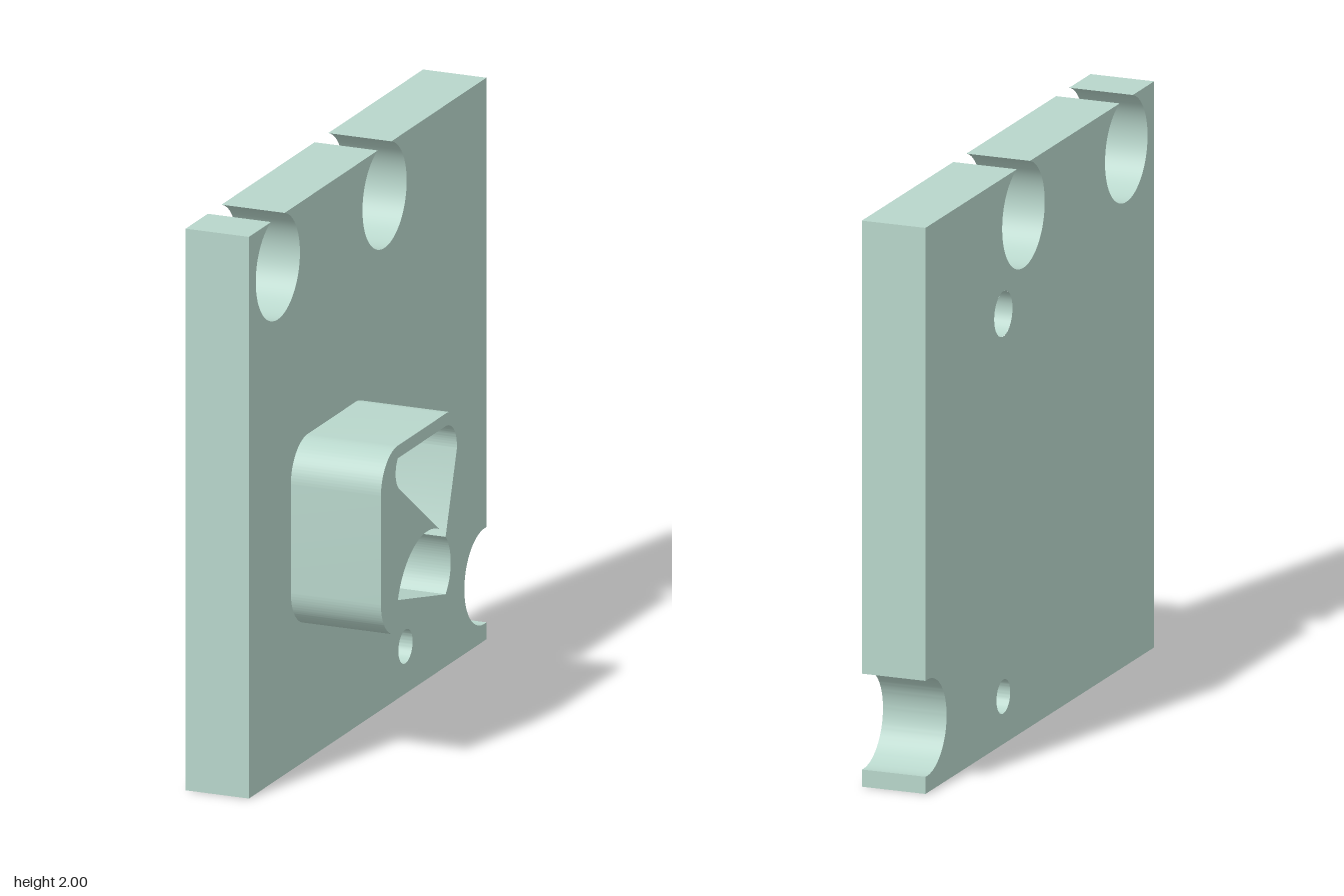
import * as THREE from 'three';
import { toCreasedNormals } from 'three/addons/utils/BufferGeometryUtils.js';

const SEG = 32;
const BACK = -0.285, FACE = -0.05, TIP = 0.285;
const mat = new THREE.MeshStandardMaterial({ color: 0xb8d6cb });
const rad = THREE.MathUtils.degToRad;

// Profiles are drawn in (-z, y); turning them sends their depth along +x.
function place(geometry, x) {
  return geometry.rotateY(Math.PI / 2).translate(x, 0, 0);
}

// Side walls of an extrusion, without its end caps
function walls(shape, x0, x1) {
  const full = new THREE.ExtrudeGeometry(shape, { depth: x1 - x0, bevelEnabled: false, curveSegments: SEG });
  const { start, count } = full.groups[1];
  const geo = new THREE.BufferGeometry();
  geo.setAttribute('position', new THREE.BufferAttribute(
    full.attributes.position.array.slice(start * 3, (start + count) * 3), 3));
  return toCreasedNormals(place(geo, x0), 0.5);
}

// Flat cap facing +x, or -x when flipped
function cap(shape, x, flip = false) {
  const geo = new THREE.ShapeGeometry(shape, SEG);
  if (flip) {
    geo.index.array.reverse();
    geo.computeVertexNormals();
  }
  return place(geo, x);
}

function circle(u, y, r) {
  return new THREE.Path().absarc(u, y, r, 0, Math.PI * 2, true);
}

// Plate outline with two keyhole notches in the top and one in the rear edge
function plateShape() {
  const s = new THREE.Shape();
  s.moveTo(-1, 0).lineTo(1, 0);
  const side = Math.acos(0.015 / 0.17);
  s.lineTo(1, 0.06).absarc(0.985, 0.23, 0.17, -side, side, true);
  s.lineTo(1, 0.4).lineTo(1, 2);
  const a = Math.asin(0.177 / 0.186);
  for (const u of [0.143, -0.756]) s.absarc(u, 1.823, 0.186, a, Math.PI - a, true);
  s.lineTo(-1, 2).closePath();
  s.holes.push(circle(0.319, 0.168, 0.06));
  return s;
}

// Rounded boss outline with a slightly sloping lower edge
function bossShape() {
  const s = new THREE.Shape();
  const r = 0.143, q = Math.PI / 2;
  s.absarc(-0.102, 1.015, r, 0, q);
  s.absarc(-0.504, 1.015, r, q, 2 * q);
  s.absarc(-0.504, 0.635, r, 2 * q, 3 * q);
  s.absarc(-0.102, 0.617, r, 3 * q, 4 * q);
  s.closePath();
  return s;
}

// Pinched pocket: upper wedge joined to a lower curved lobe
function pocketPath() {
  const p = new THREE.Path();
  p.absarc(-0.102, 1.018, 0.095, rad(90), rad(-10), true);
  p.absarc(-0.202, 0.617, 0.143, rad(45.6), rad(-45.6), true);
  p.absarc(-0.257, 0.521, 0.262, rad(160.6), rad(67.7), true);
  p.absarc(-0.445, 1.062, 0.078, rad(226), rad(139), true);
  p.closePath();
  return p;
}

export function createModel() {
  const model = new THREE.Group();
  const add = (name, geometry, parent, material = mat) => {
    const mesh = new THREE.Mesh(geometry, material);
    mesh.name = name;
    parent.add(mesh);
  };

  // Plate
  const plate = new THREE.Group();
  plate.name = 'plate';
  const front = plateShape();
  const back = plateShape();
  const blind = { u: 0.319, y: 1.52, r: 0.08, depth: 0.13 };
  back.holes.push(circle(blind.u, blind.y, blind.r));
  add('plateEdges', walls(front, BACK, FACE), plate);
  add('plateBossFace', cap(front, FACE), plate);
  add('plateBackFace', cap(back, BACK, true), plate);

  // Blind hole in the back face
  const bore = new THREE.CylinderGeometry(blind.r, blind.r, blind.depth, SEG, 1, true);
  bore.rotateZ(Math.PI / 2).translate(BACK + blind.depth / 2, blind.y, -blind.u);
  const boreMat = mat.clone();
  boreMat.side = THREE.DoubleSide;
  add('blindHoleWall', bore, plate, boreMat);
  const floor = new THREE.CircleGeometry(blind.r, SEG);
  floor.rotateY(-Math.PI / 2).translate(BACK + blind.depth, blind.y, -blind.u);
  add('blindHoleFloor', floor, plate);

  // Hollow boss; the plate face forms the floor of its pocket
  const boss = new THREE.Group();
  boss.name = 'boss';
  const outline = bossShape();
  outline.holes.push(pocketPath());
  add('bossWalls', walls(outline, FACE, TIP), boss);
  add('bossRim', cap(outline, TIP), boss);

  model.add(plate, boss);
  return model;
}
